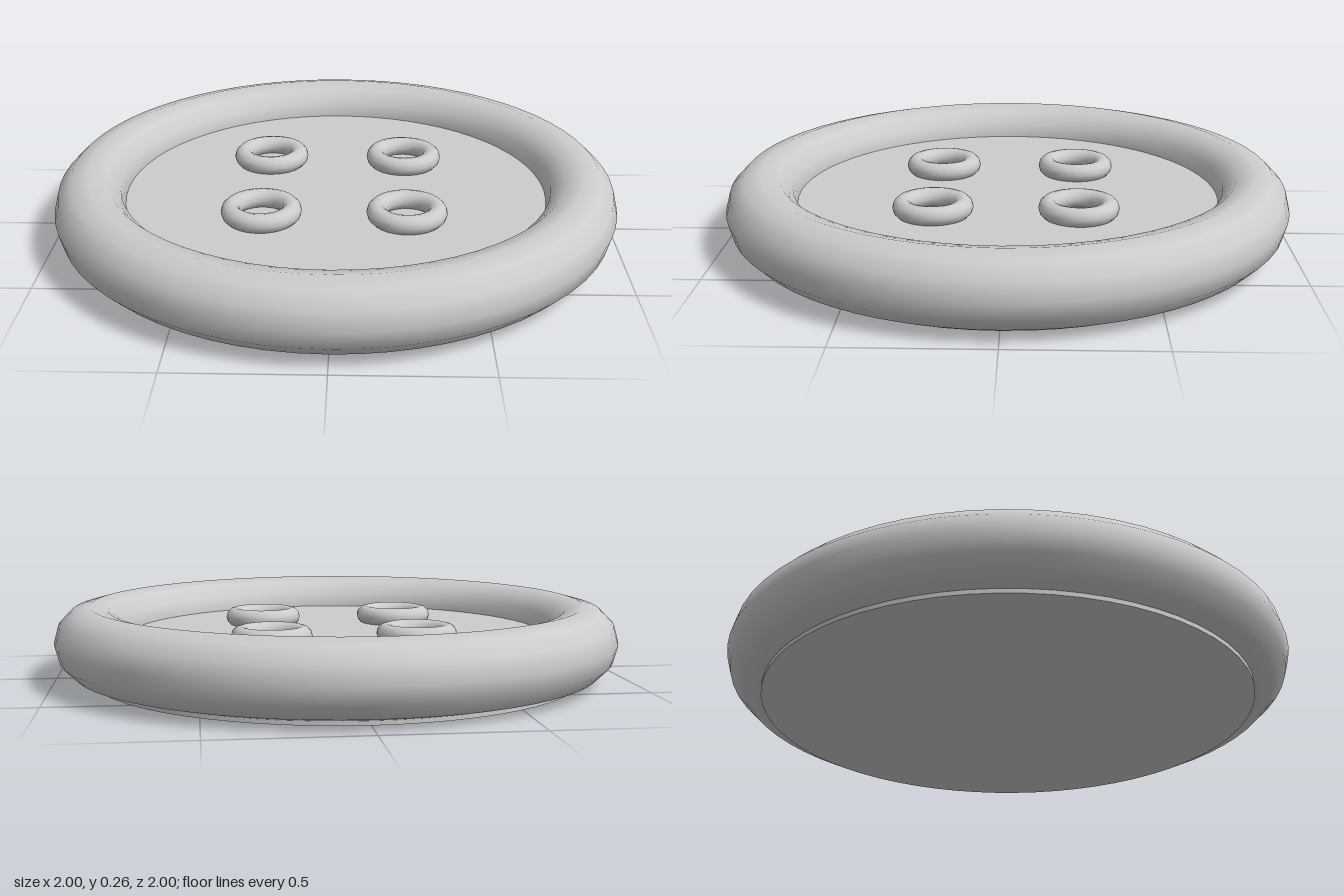
import * as THREE from 'three';

export function createModel() {
  const model = new THREE.Group();
  model.name = 'button';
  const grey = new THREE.MeshStandardMaterial({ color: 0xcccccc });
  grey.name = 'light grey';

  const add = (geometry, name, x, y, z) => {
    const mesh = new THREE.Mesh(geometry, grey);
    mesh.name = name;
    mesh.position.set(x, y, z);
    model.add(mesh);
  };

  // Flat round base, its top face sunk inside the rim
  add(new THREE.CylinderGeometry(0.873, 0.873, 0.15, 64), 'baseDisc', 0, 0.075, 0);

  // Thick rounded rim
  const rim = new THREE.TorusGeometry(0.875, 0.125, 12, 64).rotateX(-Math.PI / 2);
  add(rim, 'rim', 0, 0.14, 0);

  // Four raised rings around the thread holes
  const ring = new THREE.TorusGeometry(0.105, 0.034, 12, 32).rotateX(-Math.PI / 2);
  for (const x of [-0.25, 0.25])
    for (const z of [-0.25, 0.25])
      add(ring, 'threadHoleRing', x, 0.178, z);

  return model;
}
